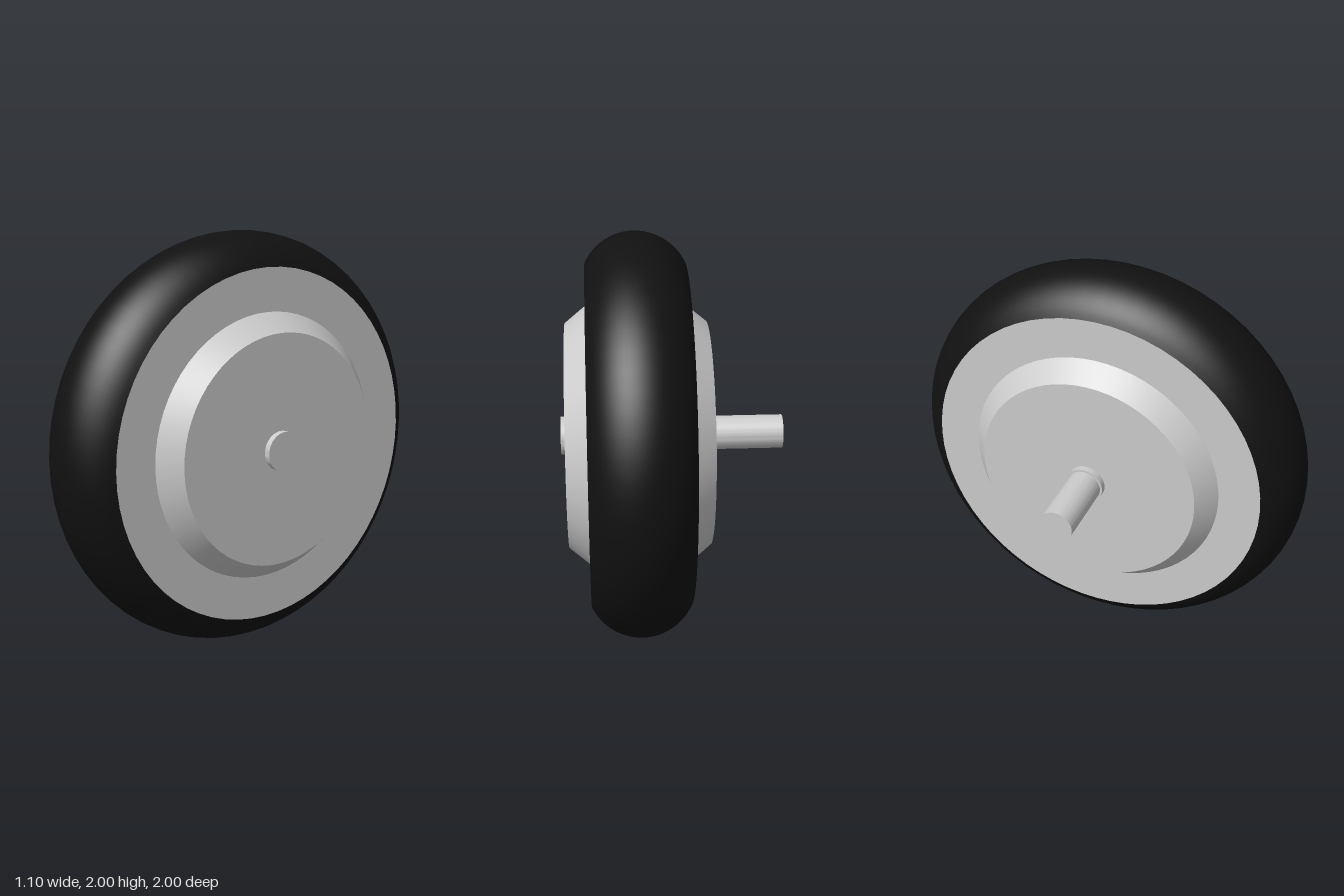
import * as THREE from 'three';
import { toCreasedNormals } from 'three/addons/utils/BufferGeometryUtils.js';

const CENTRE = 0.168;      // middle of the wheel along x
const HALF_WIDTH = 0.243;  // half the tyre width
const RIM_RADIUS = 0.848;

// Revolve [radius, x] pairs around the wheel axis
function revolve(name, profile, material) {
  const points = profile.map(([r, x]) => new THREE.Vector2(r, x));
  const geometry = new THREE.LatheGeometry(points, 64);
  geometry.rotateZ(-Math.PI / 2);
  const mesh = new THREE.Mesh(toCreasedNormals(geometry, 0.5), material);
  mesh.name = name;
  return mesh;
}

// Solid round bar between two x positions
const bar = (radius, x0, x1) => [[0, x0], [radius, x0], [radius, x1], [0, x1]];

export function createModel() {
  const grey = new THREE.MeshStandardMaterial({ color: 0xcccccc });
  const rubber = new THREE.MeshStandardMaterial({ color: 0x111111, side: THREE.DoubleSide });
  const wheel = new THREE.Group();
  wheel.name = 'wheel';

  // Tyre tread: circular arc from one rim edge to the other
  const sagitta = 1 - RIM_RADIUS;
  const arcRadius = (HALF_WIDTH ** 2 + sagitta ** 2) / (2 * sagitta);
  const halfAngle = Math.asin(HALF_WIDTH / arcRadius);
  const tread = [];
  for (let i = 0; i <= 24; i++) {
    const a = halfAngle * (i / 12 - 1);
    tread.push([1 - arcRadius + arcRadius * Math.cos(a), CENTRE + arcRadius * Math.sin(a)]);
  }
  wheel.add(revolve('tyre', tread, rubber));

  // Hub: flat rim disc with a raised bevelled plate on both faces
  const side = [[0, 0.347], [0.555, 0.347], [0.64, HALF_WIDTH], [RIM_RADIUS, HALF_WIDTH]];
  const hub = [
    ...side.map(([r, d]) => [r, CENTRE - d]),
    ...side.slice().reverse().map(([r, d]) => [r, CENTRE + d]),
  ];
  wheel.add(revolve('hub', hub, grey));

  // Bearing collar through the hub, and the axle on the right side
  wheel.add(revolve('collar', bar(0.094, -0.211, 0.546), grey));
  wheel.add(revolve('axle', bar(0.083, -0.55, CENTRE), grey));

  wheel.position.y = 1;
  const model = new THREE.Group();
  model.name = 'wheelWithAxle';
  model.add(wheel);
  return model;
}
